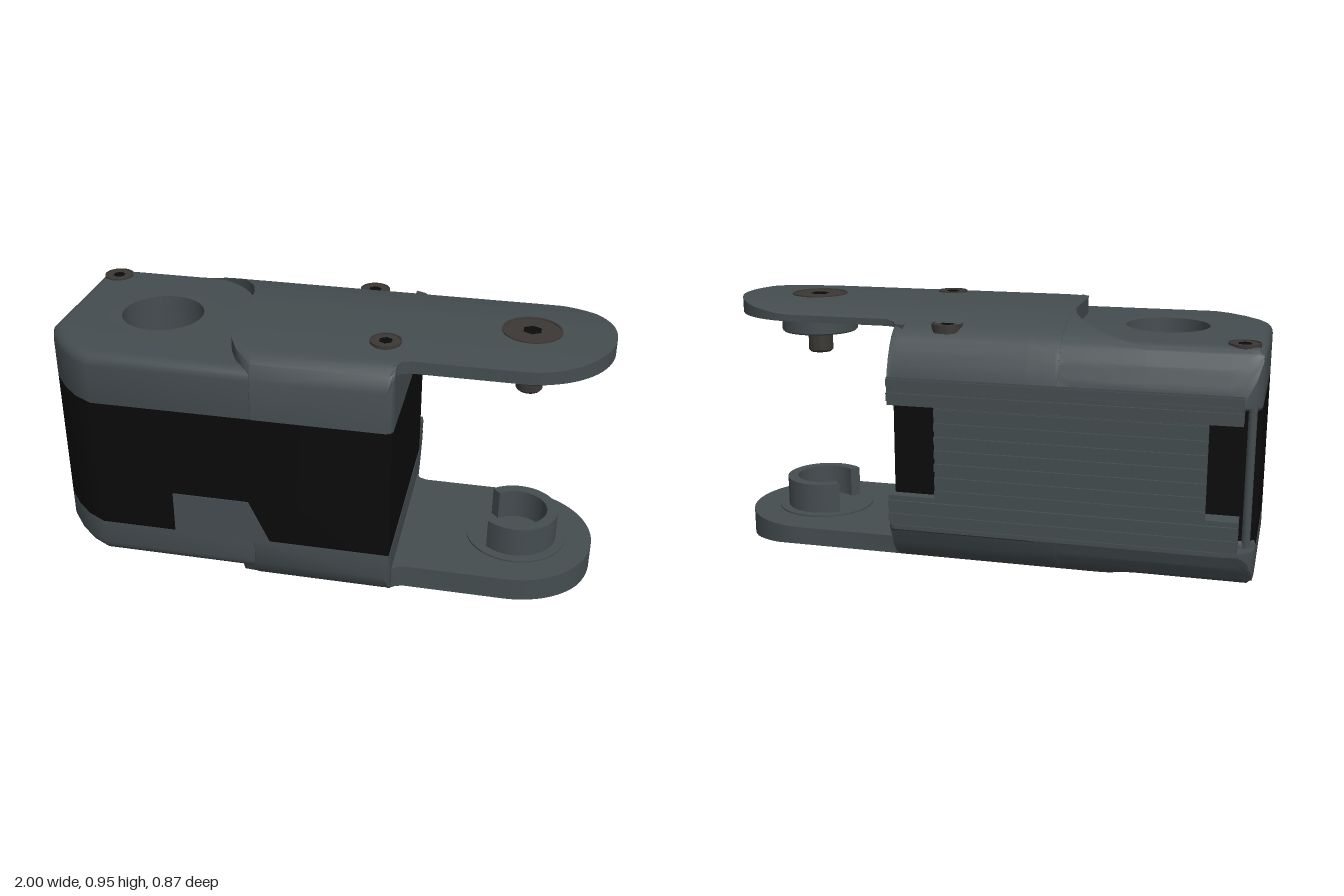
import * as THREE from 'three';
import { toCreasedNormals } from 'three/addons/utils/BufferGeometryUtils.js';

const shellMat = new THREE.MeshStandardMaterial({ color: 0x454d50 });
const blackMat = new THREE.MeshStandardMaterial({ color: 0x0b0b0b });
const screwMat = new THREE.MeshStandardMaterial({ color: 0x3b3835 });
const H = 0.95, HOLE_X = -0.63, HOLE_Z = 0.037;

// Height of the domed top across the body: pairs of z and y
const DOME = [[0.426, 0.85], [0.418, 0.885], [0.395, 0.915], [0.36, 0.935], [0.2, 0.95], [-0.05, 0.95],
  [-0.15, 0.942], [-0.24, 0.925], [-0.3, 0.9], [-0.34, 0.868], [-0.37, 0.82], [-0.395, 0.755], [-0.408, 0.69]];
function dome(z) {
  for (let i = 1; i < DOME.length; i++) {
    const [z0, y0] = DOME[i - 1], [z1, y1] = DOME[i];
    if (z >= z1) return y0 + (y1 - y0) * Math.max(0, (z - z0) / (z1 - z0));
  }
  return 0.69;
}

// Solid lofted along x from stations [x, zFront, zBack, height limit]; flip turns it upside down
function domedLoft(stations, base, flip) {
  const N = 40, R = 2 * N, pos = [], idx = [];
  const tri = (a, b, c) => (flip ? idx.push(a, c, b) : idx.push(a, b, c));
  for (const [x, zf, zb, limit = H] of stations) {
    for (let i = 0; i < R; i++) {
      const z = zf + (zb - zf) * (i < N ? i : R - 1 - i) / (N - 1);
      const y = i < N ? Math.max(Math.min(dome(z), limit), base + 0.015) : base;
      pos.push(x, flip ? H - y : y, z);
    }
  }
  for (let s = 0; s < stations.length - 1; s++) {
    for (let i = 0; i < R; i++) {
      const j = (i + 1) % R, a = s * R + i, b = s * R + j, c = b + R, d = a + R;
      tri(a, d, c);
      tri(a, c, b);
    }
  }
  const e = (stations.length - 1) * R;
  for (let i = 0; i < N - 1; i++) {
    const p = i, q = i + 1, r = R - 2 - i, s = R - 1 - i;
    tri(p, q, r); tri(p, r, s);
    tri(e + p, e + s, e + r); tri(e + p, e + r, e + q);
  }
  const g = new THREE.BufferGeometry();
  g.setAttribute('position', new THREE.Float32BufferAttribute(pos, 3));
  g.setIndex(idx);
  return toCreasedNormals(g, 0.6);
}

// Plan shape (drawn in x, -z) raised from y0 to y1 with an optional bevel
function slab(shape, y0, y1, bevel = 0) {
  const g = new THREE.ExtrudeGeometry(shape, {
    depth: y1 - y0 - 2 * bevel, curveSegments: 40, bevelEnabled: bevel > 0,
    bevelSize: bevel, bevelThickness: bevel, bevelOffset: -bevel, bevelSegments: 5,
  });
  return g.rotateX(-Math.PI / 2).translate(0, y0 + bevel, 0);
}
// Slab with rounded rims and a straight round hole of the given radius
function holedSlab(points, radius, y0, y1, bevel) {
  const s = new THREE.Shape(points.map(([x, z]) => new THREE.Vector2(x, -z)));
  s.holes.push(new THREE.Path().absarc(HOLE_X, -HOLE_Z, 0.1, 0, Math.PI * 2, true));
  const g = slab(s, y0, y1, bevel), p = g.attributes.position;
  for (let i = 0; i < p.count; i++) {
    const dx = p.getX(i) - HOLE_X, dz = p.getZ(i) - HOLE_Z, d = Math.hypot(dx, dz);
    if (d < 0.2) p.setXYZ(i, HOLE_X + dx * radius / d, p.getY(i), HOLE_Z + dz * radius / d);
  }
  return toCreasedNormals(g, 0.6);
}
const lathe = (pts) => toCreasedNormals(
  new THREE.LatheGeometry(pts.map(([r, y]) => new THREE.Vector2(r, y)), 40), 0.6);

export function createModel() {
  const model = new THREE.Group();
  model.name = 'servoBracket';
  const body = new THREE.Group();
  body.name = 'body';
  body.rotation.y = -0.027;
  model.add(body);

  const add = (name, geo, mat = shellMat, x = 0, y = 0, z = 0) => {
    const m = new THREE.Mesh(geo, mat);
    m.name = name;
    m.position.set(x, y, z);
    body.add(m);
  };
  const box = (name, x0, x1, y0, y1, z0, z1, mat) =>
    add(name, new THREE.BoxGeometry(x1 - x0, y1 - y0, z1 - z0), mat, (x0 + x1) / 2, (y0 + y1) / 2, (z0 + z1) / 2);

  // Motor block with its through hole and rear connector
  const left = [[-0.995, 0.2], [-0.97, 0.255], [-0.91, 0.33], [-0.85, 0.385], [-0.78, 0.424]];
  add('motor', holedSlab([[-0.96, -0.333], [-0.988, -0.3], ...left, [0.291, 0.424], [0.291, -0.333]],
    0.115, 0.2, 0.7, 0), blackMat);
  box('motorConnector', 0, 0.28, 0.31, 0.64, -0.363, -0.32, blackMat);
  add('rearPost', new THREE.CylinderGeometry(0.015, 0.015, 0.5, 16), shellMat, -0.955, 0.45, -0.327);

  // Low pads around the hole, on top and underneath
  const pad = [[-0.965, -0.34], [-0.988, -0.31], ...left, [-0.12, 0.424], [-0.12, -0.34]];
  add('topPad', holedSlab(pad, 0.15, 0.658, 0.887, 0.042));
  add('topHoleStep', lathe([[0.152, 0.725], [0.115, 0.725], [0.115, 0.69]].reverse()), shellMat, HOLE_X, 0, HOLE_Z);
  body.children.at(-1).material = shellMat.clone();
  body.children.at(-1).material.side = THREE.DoubleSide;
  add('bottomPad', holedSlab(pad, 0.255, 0.065, 0.242, 0.042));
  add('bottomHoleStep', lathe([[0.225, 0.2], [0.225, 0.1], [0.26, 0.1]]), shellMat, HOLE_X, 0, HOLE_Z);

  // High covers: rear strip sweeping round the pad, then the full width
  const cover = [[-0.988, -0.315, -0.325, 0.845], [-0.982, -0.325, -0.355, 0.865], [-0.965, -0.325, -0.382, 0.88],
    [-0.935, -0.325, -0.4], [-0.88, -0.325, -0.408]];
  for (let i = 0; i <= 12; i++) {
    const a = (i / 12) * Math.PI / 2;
    cover.push([-0.6 + 0.29 * Math.sin(a), -0.035 - 0.29 * Math.cos(a), -0.408]);
  }
  cover.push([-0.309, 0.2, -0.408], [-0.295, 0.29, -0.408], [-0.26, 0.36, -0.408], [-0.2, 0.426, -0.408],
    [0.27, 0.426, -0.408], [0.285, 0.419, -0.404], [0.293, 0.405, -0.395]);

  // Arms with a rounded end
  const arm = [[0.26, 0.37, -0.31], [0.295, 0.365, -0.295], [0.305, 0.35, -0.272], [0.335, 0.34, -0.26]];
  for (let i = 0; i <= 20; i++) {
    const a = (i / 20) * Math.PI / 2, half = Math.max(0.004, 0.3 * Math.cos(a));
    arm.push([0.7 + 0.3 * Math.sin(a), 0.04 + half, 0.04 - half]);
  }
  add('topCover', domedLoft(cover, 0.7, false));
  add('bottomCover', domedLoft(cover, 0.75, true));
  add('topArm', domedLoft(arm, 0.892, false));
  add('bottomArm', domedLoft(arm, 0.85, true));

  // Rear wall, notched at both ends, with shallow lengthwise ribs
  box('rearRailLower', -0.93, 0.293, 0.2, 0.31, -0.403, -0.333);
  box('rearRailUpper', -0.93, 0.293, 0.64, 0.74, -0.403, -0.333);
  box('rearPanel', -0.82, 0.12, 0.31, 0.64, -0.407, -0.388);
  for (let i = 0; i < 11; i++) {
    const y = 0.23 + 0.049 * i, inNotch = y > 0.31 && y < 0.64;
    const out = -0.416 + 0.1 * (y - 0.475) ** 2;
    box('rearRib', inNotch ? -0.82 : -0.93, inNotch ? 0.12 : 0.293, y - 0.014, y + 0.014, out, -0.395);
  }

  // Flat tab on the front of the motor
  const tab = new THREE.Shape([[-0.5, 0.19], [-0.14, 0.19], [-0.22, 0.36], [-0.5, 0.36]]
    .map(([x, y]) => new THREE.Vector2(x, y)));
  add('frontTab', new THREE.ExtrudeGeometry(tab, { depth: 0.015, bevelEnabled: false }), shellMat, 0, 0, 0.413);

  // Pivot under the top arm: hollow boss and pin
  const px = 0.717, pz = 0.047;
  add('topBoss', lathe([[0.09, 0.9], [0.09, 0.81], [0.14, 0.81], [0.145, 0.815], [0.145, 0.9]]), shellMat, px, 0, pz);
  add('pivotPin', lathe([[0, 0.725], [0.04, 0.725], [0.047, 0.733], [0.047, 0.9]]), screwMat, px, 0, pz);

  // Open cup on the bottom arm
  const cup = new THREE.Shape();
  cup.absarc(0, 0, 0.15, -2.3, 2.3, false);
  cup.absarc(0, 0, 0.11, 2.3, -2.3, true);
  add('bottomCup', toCreasedNormals(slab(cup, 0.09, 0.22), 0.6), shellMat, px, 0, pz);
  add('bottomCupBase', new THREE.CylinderGeometry(0.185, 0.185, 0.03, 40), shellMat, px, 0.091, pz);

  // Screws: a collar and a head with a dark hexagonal socket
  const screw = (name, x, y, z, r) => {
    add(name, lathe([[r, -0.03], [r, 0], [r * 0.92, 0], [r * 0.92, -0.003], [0, -0.003]]), screwMat, x, y, z);
    add(name + 'Socket', new THREE.CylinderGeometry(Math.min(r * 0.45, 0.035), 0.02, 0.01, 6), blackMat, x, y - 0.007, z);
  };
  screw('pivotScrew', 0.712, 0.954, 0.046, 0.105);
  screw('cornerScrew', -0.915, 0.893, -0.265, 0.055);
  screw('rearScrew', 0.105, 0.916, -0.278, 0.055);
  screw('frontScrew', 0.231, 0.954, 0.229, 0.055);
  return model;
}
